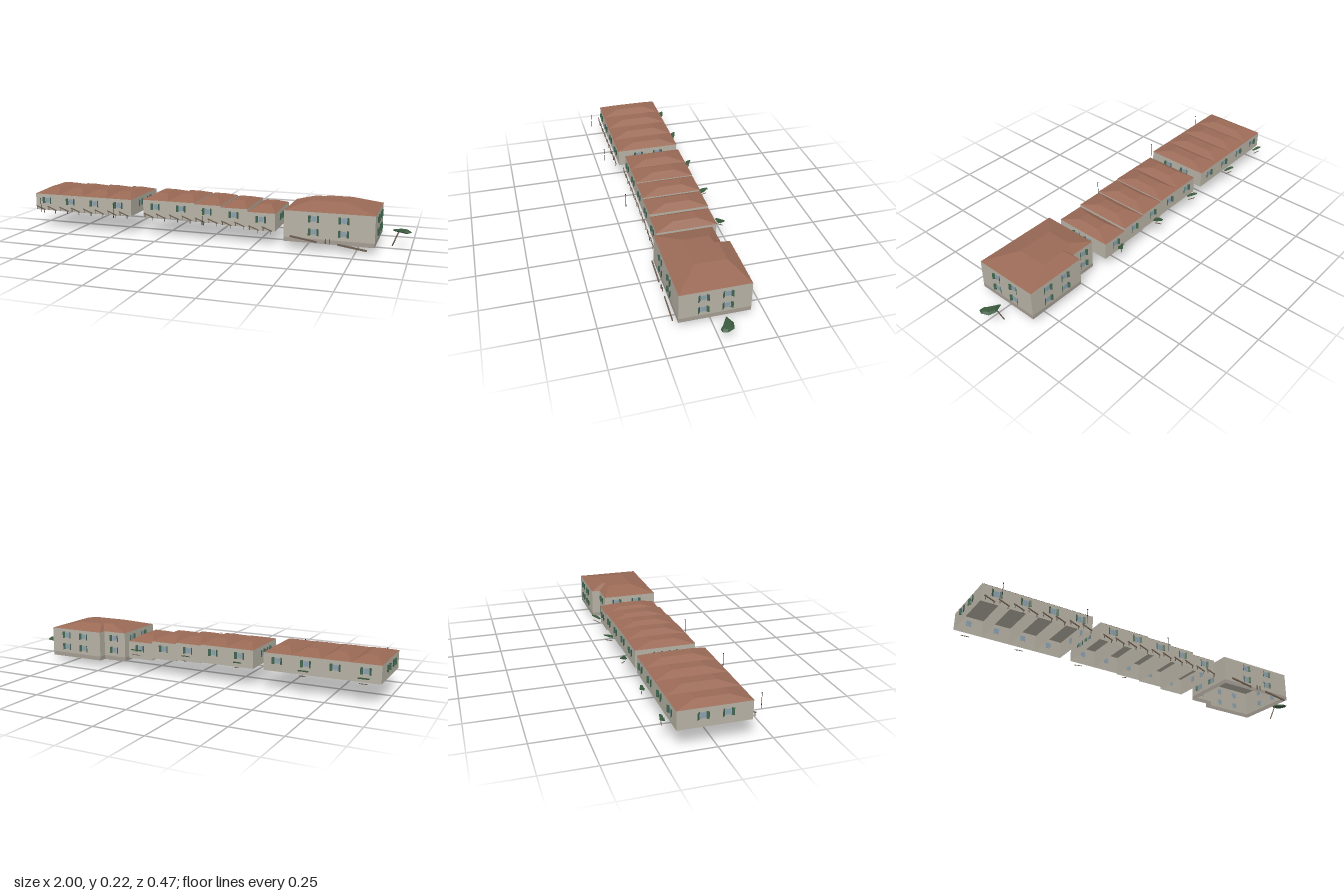
import * as THREE from 'three';

const mat = (color, side = THREE.FrontSide) => new THREE.MeshStandardMaterial({ color, side, flatShading: true });
const WALL = mat(0xb7b2a5, THREE.DoubleSide), PLINTH = mat(0xa39c92, THREE.DoubleSide);
const ROOF = mat(0x9a6a56, THREE.DoubleSide), GREEN = mat(0x41664f), GLASS = mat(0x8aa0b0);
const FRAME = mat(0xa9adab), WOOD = mat(0x6f5f52), IRON = mat(0x2b3238);
const LEAF = mat(0x3a5a3e, THREE.DoubleSide);

function add(parent, geo, material, name, pos = [0, 0, 0]) {
  const m = new THREE.Mesh(geo, material);
  m.name = name;
  m.position.set(...pos);
  parent.add(m);
  return m;
}

function group(parent, name) {
  const g = new THREE.Group();
  g.name = name;
  parent.add(g);
  return g;
}

// Plan outline, counterclockwise from above: front left, front right, back right, back left
const rect = (x0, x1, zb, zf) => [[x0, zf], [x1, zf], [x1, zb], [x0, zb]];

// Joins a lower and an upper outline, closed on top and open below
function loft(lower, y0, upper, y1, cap = true) {
  const p = [], n = lower.length;
  for (let i = 0; i < n; i++) {
    const j = (i + 1) % n;
    const a = [lower[i][0], y0, lower[i][1]], b = [lower[j][0], y0, lower[j][1]];
    const c = [upper[j][0], y1, upper[j][1]], d = [upper[i][0], y1, upper[i][1]];
    p.push(...a, ...b, ...c, ...a, ...c, ...d);
  }
  if (cap) {
    const pts = upper.map(([x, z]) => new THREE.Vector2(x, -z));
    for (const f of THREE.ShapeUtils.triangulateShape(pts, []))
      for (const k of f) p.push(upper[k][0], y1, upper[k][1]);
  }
  const g = new THREE.BufferGeometry();
  g.setAttribute('position', new THREE.Float32BufferAttribute(p, 3));
  g.computeVertexNormals();
  return g;
}

// Beam between two points
function beam(parent, a, b, w, h, material, name) {
  const A = new THREE.Vector3(...a), B = new THREE.Vector3(...b);
  const m = add(parent, new THREE.BoxGeometry(w, h, A.distanceTo(B)), material, name);
  m.position.copy(A).add(B).multiplyScalar(0.5);
  m.lookAt(B);
  return m;
}

// Window with two half-open shutters, facing +z before the turn
function addWindow(parent, x, y, z, turn) {
  const w = group(parent, 'window');
  w.position.set(x, y, z);
  w.rotation.y = turn;
  add(w, new THREE.BoxGeometry(0.031, 0.031, 0.002), FRAME, 'windowFrame');
  add(w, new THREE.BoxGeometry(0.024, 0.025, 0.003), GLASS, 'windowPane');
  for (const s of [-1, 1]) {
    const hinge = group(w, 'shutterHinge');
    hinge.position.set(s * 0.0155, 0, 0.001);
    hinge.rotation.y = -s * 0.7;
    add(hinge, new THREE.BoxGeometry(0.013, 0.034, 0.002), GREEN, 'shutter', [s * 0.0065, 0, 0]);
    for (const dy of [-0.008, 0.008])
      add(hinge, new THREE.BoxGeometry(0.009, 0.011, 0.003), GREEN, 'shutterPanel', [s * 0.0065, dy, 0]);
  }
}

const FRONT = 0, BACK = Math.PI, LEFT = Math.PI / 2, RIGHT = -Math.PI / 2;

// Row of small hip-roofed houses; each level is [bottom, eave, top]
function addRow(root, name, x0, zb, zf, levels) {
  const row = group(root, name), w = 0.1424;
  levels.forEach(([yb, ye, yt], i) => {
    const h = group(row, 'rowHouse');
    const xa = x0 + i * w, xb = xa + w, xc = xa + w / 2, wy = ye - 0.034;
    const plan = rect(xa, xb, zb, zf);
    add(h, loft(plan, yb, plan, ye), WALL, 'walls');
    add(h, loft(rect(xa, xb, zb - 0.002, zf + 0.002), ye, rect(xa + 0.042, xb - 0.042, zb + 0.087, zf - 0.092), yt), ROOF, 'roof');
    addWindow(h, xc, wy, zf, FRONT);
    addWindow(h, xc, wy, zb, BACK);
    for (const z of [zf - 0.113, zb + 0.113]) {
      if (i === 0) addWindow(h, xa, wy, z, RIGHT);
      if (i === levels.length - 1) addWindow(h, xb, wy, z, LEFT);
    }
    // sloping handrails in front
    for (const s of [xa + 0.01, xa + 0.079]) {
      const y = yb + 0.024, z = zf + 0.016;
      beam(h, [s, y, z], [s + 0.053, y - 0.02, z], 0.004, 0.005, WOOD, 'handrail');
      for (const t of [0.12, 0.88])
        add(h, new THREE.BoxGeometry(0.003, 0.02, 0.003), WOOD, 'railPost', [s + 0.053 * t, y - 0.02 * t - 0.008, z]);
    }
  });
}

// Thin street lamp
function addLamp(root, x, y, z) {
  const g = group(root, 'streetLamp');
  g.position.set(x, y, z);
  add(g, new THREE.CylinderGeometry(0.001, 0.0016, 0.073, 6), IRON, 'lampPole', [0, 0.0365, 0]);
  add(g, new THREE.CylinderGeometry(0.0032, 0.002, 0.004, 6), IRON, 'lampHead', [0, 0.074, 0]);
}

// Upright plant with blades folded into a shallow V
function addShrub(root, x, z) {
  const g = group(root, 'shrub');
  g.position.set(x, 0.082, z);
  beam(g, [0, 0, 0], [0, 0.04, 0], 0.003, 0.003, WOOD, 'shrubStem');
  for (const s of [-1, 1]) for (let i = 0; i < 3; i++) {
    const r = 0.003 + i * 0.006;
    beam(g, [s * r * 0.6, 0.022 + i * 0.004, r * 0.5 - 0.004], [s * r, 0.071 - i * 0.008, r * 0.9 - 0.004], 0.009, 0.003, LEAF, 'shrubBlade');
  }
}

export function createModel() {
  const root = new THREE.Group();
  root.name = 'streetOfHouses';

  addRow(root, 'levelRow', -0.99, -0.181, 0.155, Array(4).fill([0.098, 0.186, 0.21]));
  addRow(root, 'steppedRow', -0.363, -0.174, 0.128, [
    [0.094, 0.186, 0.21], [0.094, 0.186, 0.21], [0.089, 0.181, 0.205], [0.083, 0.174, 0.198], [0.07, 0.161, 0.187]]);

  // large house with a recessed back corner
  const big = group(root, 'largeHouse');
  const plan = [[0.40, 0.157], [0.842, 0.157], [0.842, -0.18], [0.53, -0.18], [0.53, -0.135], [0.40, -0.135]];
  const top = [[0.508, 0.044], [0.695, 0.044], [0.695, -0.11], [0.565, -0.11], [0.565, -0.092], [0.508, -0.085]];
  add(big, loft(plan, 0.035, plan, 0.056, false), PLINTH, 'plinth');
  add(big, loft(plan, 0.056, plan, 0.189), WALL, 'walls');
  add(big, loft(plan, 0.189, top, 0.223), ROOF, 'roof');
  for (const y of [0.091, 0.156]) {
    for (const x of [0.548, 0.694]) addWindow(big, x, y, 0.157, FRONT);
    for (const x of [0.635, 0.745]) addWindow(big, x, y, -0.18, BACK);
    addWindow(big, 0.465, y, -0.135, BACK);
    for (const z of [0.045, -0.067]) {
      addWindow(big, 0.842, y, z, LEFT);
      addWindow(big, 0.40, y, z, RIGHT);
    }
  }
  // ramped rails and gate posts before the large house
  beam(big, [0.435, 0.066, 0.173], [0.567, 0.046, 0.173], 0.005, 0.009, WOOD, 'rampRail');
  beam(big, [0.668, 0.042, 0.173], [0.808, 0.022, 0.173], 0.005, 0.009, WOOD, 'rampRail');
  for (const x of [0.61, 0.63])
    add(big, new THREE.BoxGeometry(0.005, 0.024, 0.004), WOOD, 'gatePost', [x, 0.053, 0.173]);

  addLamp(root, -0.918, 0.1, 0.225);
  addLamp(root, -0.489, 0.1, 0.225);
  addLamp(root, -0.008, 0.094, 0.204);

  for (const x of [-0.918, -0.633]) addShrub(root, x, -0.222);
  for (const x of [-0.295, -0.008, 0.277]) addShrub(root, x, -0.215);

  // leaning tree with a flat fan of foliage
  const tree = group(root, 'leaningTree');
  beam(tree, [0.906, 0, -0.051], [0.936, 0.08, -0.038], 0.005, 0.005, WOOD, 'trunk');
  const crown = [[0.904, -0.04], [0.95, -0.012], [0.975, 0.008], [0.992, 0.006], [1.0, -0.016], [0.985, -0.05], [0.95, -0.06]];
  const inner = crown.map(([x, z]) => [0.955 + (x - 0.955) * 0.7, -0.025 + (z + 0.025) * 0.7]);
  const canopy = group(tree, 'canopy');
  add(canopy, loft(crown, 0.083, inner, 0.091), LEAF, 'canopyTop');
  add(canopy, loft(inner, 0.078, crown, 0.083, false), LEAF, 'canopyUnderside');
  return root;
}
